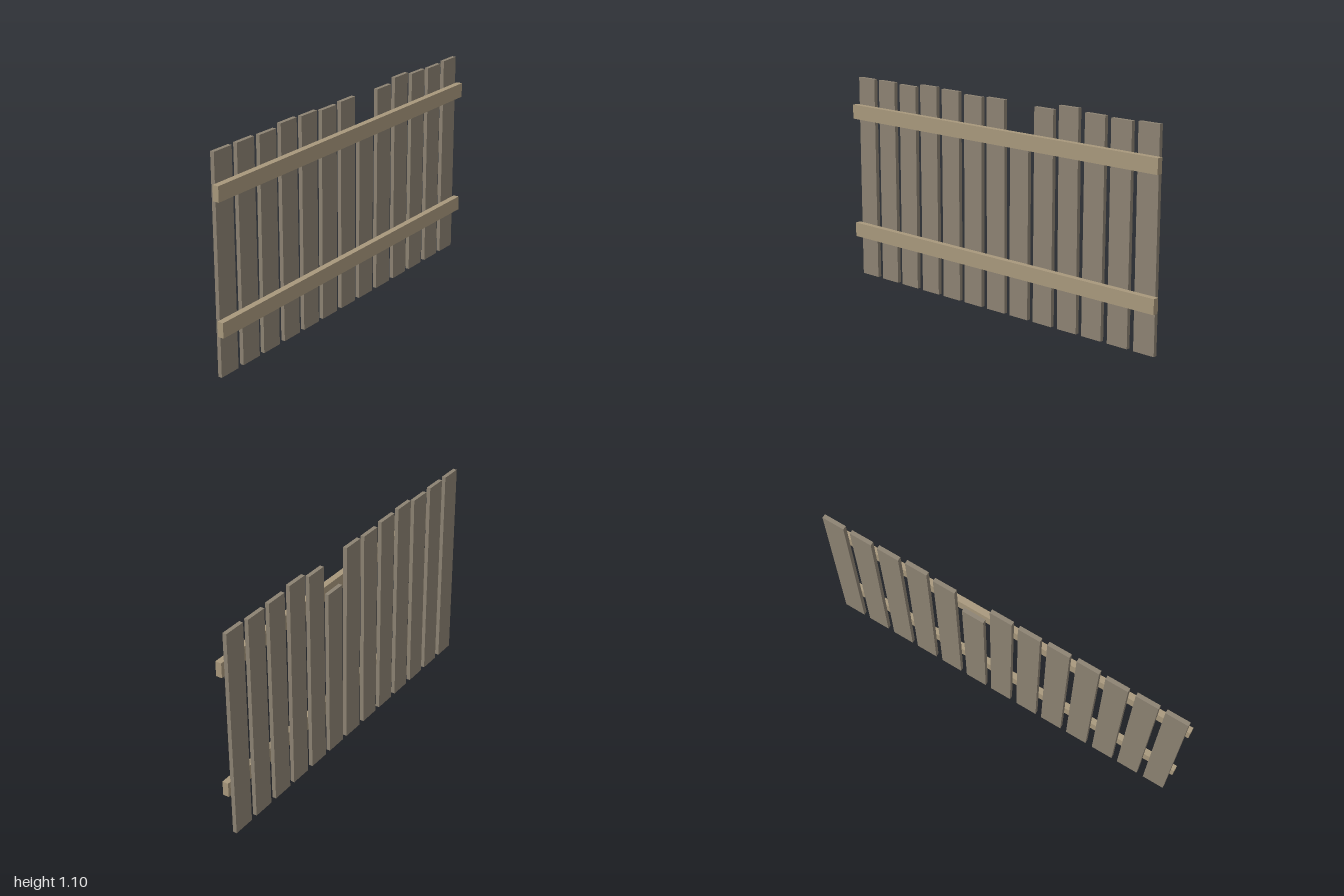
import * as THREE from 'three';

export function createModel() {
  const fence = new THREE.Group();
  fence.name = 'fence';
  const plankMaterial = new THREE.MeshStandardMaterial({ color: 0x8c8272, flatShading: true });
  const railMaterial = new THREE.MeshStandardMaterial({ color: 0xa8987c, flatShading: true });

  function board(name, size, position, material) {
    const mesh = new THREE.Mesh(new THREE.BoxGeometry(...size), material);
    mesh.name = name;
    mesh.position.set(...position);
    fence.add(mesh);
    return mesh;
  }

  // Upright planks of uneven height; the short one ends behind the upper rail
  const heights = [1.085, 1.085, 1.08, 1.095, 1.09, 1.08, 1.085, 0.905, 1.075, 1.1, 1.085, 1.08, 1.085];
  heights.forEach((height, i) => {
    const x = -0.924 + i * 0.154;
    const plank = board(`plank${i + 1}`, [0.118, height, 0.021], [x, height / 2, -0.0155], plankMaterial);
    // Slight hand-nailed lean
    plank.rotation.z = 0.003 * Math.sin(i * 2.3);
  });

  // Horizontal rails on the front
  board('lowerRail', [2, 0.076, 0.032], [0, 0.252, 0.012], railMaterial);
  board('upperRail', [2, 0.076, 0.032], [0, 0.902, 0.012], railMaterial);

  return fence;
}
